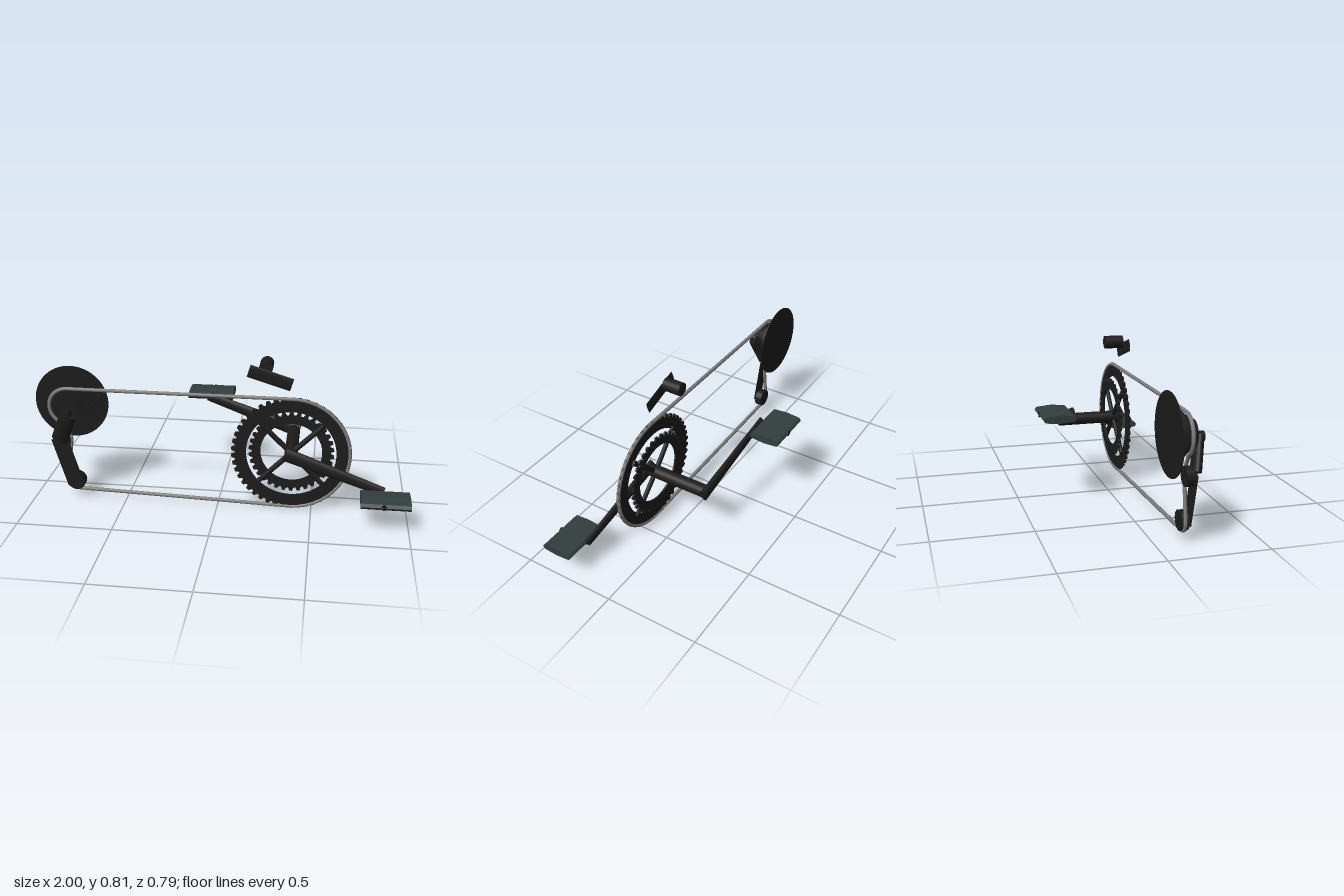
import * as THREE from 'three';

const V = (x, y, z) => new THREE.Vector3(x, y, z);

export function createModel() {
  const model = new THREE.Group();
  const black = new THREE.MeshStandardMaterial({ color: 0x1c1c1c });
  black.name = 'black metal';
  const steel = new THREE.MeshStandardMaterial({ color: 0x7c7c7c });
  steel.name = 'chain steel';
  const slate = new THREE.MeshStandardMaterial({ color: 0x333e3e });
  slate.name = 'pedal slate';

  const add = (name, geometry, material = black) => {
    const mesh = new THREE.Mesh(geometry, material);
    mesh.name = name;
    model.add(mesh);
    return mesh;
  };

  // Tapered bar from a to b, with its thickness along z scaled by flat
  const bar = (name, a, b, ra, rb, flat = 1, sides = 24) => {
    const g = new THREE.CylinderGeometry(rb, ra, a.distanceTo(b), sides);
    g.scale(1, 1, flat);
    const y = b.clone().sub(a).normalize();
    const z = V(0, 0, 1).addScaledVector(y, -y.z).normalize();
    const x = y.clone().cross(z);
    const m = new THREE.Matrix4().makeBasis(x, y, z);
    m.setPosition(a.clone().add(b).multiplyScalar(0.5));
    return add(name, g.applyMatrix4(m));
  };

  // Cylinder lying along z
  const drum = (name, x, y, z0, z1, r, sides = 32) => {
    const g = new THREE.CylinderGeometry(r, r, z1 - z0, sides);
    g.rotateX(Math.PI / 2);
    g.translate(x, y, (z0 + z1) / 2);
    return add(name, g);
  };

  const CX = 0.385, CY = 0.32, BX = -0.8, BY = 0.525, CHAIN_Z = 0.145;

  // Toothed chainrings
  const chainring = (name, outer, inner, teeth, z) => {
    const shape = new THREE.Shape();
    const step = (Math.PI * 2) / teeth;
    for (let i = 0; i < teeth; i++) {
      [[0, -0.018], [0.25, -0.018], [0.42, 0], [0.78, 0]].forEach(([f, d], k) => {
        const a = (i + f) * step, r = outer + d;
        shape[i + k ? 'lineTo' : 'moveTo'](r * Math.cos(a), r * Math.sin(a));
      });
    }
    shape.closePath();
    const hole = new THREE.Path();
    hole.absarc(0, 0, inner, 0, Math.PI * 2, true);
    shape.holes.push(hole);
    const g = new THREE.ExtrudeGeometry(shape, { depth: 0.01, bevelEnabled: false, curveSegments: 32 });
    g.translate(CX, CY, z - 0.005);
    add(name, g);
  };
  chainring('largeChainring', 0.314, 0.236, 46, CHAIN_Z);
  chainring('smallChainring', 0.224, 0.162, 34, 0.122);

  // Spider arms
  for (let i = 0; i < 4; i++) {
    const a = Math.PI / 4 + (i * Math.PI) / 2;
    bar('spiderArm', V(CX, CY, 0.134),
      V(CX + 0.25 * Math.cos(a), CY + 0.25 * Math.sin(a), 0.138), 0.015, 0.014, 0.8, 12);
  }

  // Bottom bracket and cranks
  drum('bottomBracket', CX, CY, -0.185, 0.175, 0.034);
  bar('leftCrank', V(CX - 0.03, CY + 0.01, 0.175), V(0.87, 0.165, 0.215), 0.038, 0.025, 0.48);
  bar('rightCrank', V(CX + 0.03, CY - 0.005, -0.178), V(-0.1, 0.482, -0.218), 0.038, 0.025, 0.48);

  // Pedals with a lens-like section
  const section = new THREE.Shape([
    [0.086, 0], [0.075, 0.015], [0, 0.022], [-0.075, 0.015],
    [-0.086, 0], [-0.075, -0.015], [0, -0.022], [0.075, -0.015],
  ].map(([x, y]) => new THREE.Vector2(x, y)));
  for (const [name, x, y, z] of [['leftPedal', 0.875, 0.163, 0.306], ['rightPedal', -0.09, 0.475, -0.308]]) {
    const g = new THREE.ExtrudeGeometry(section, { depth: 0.25, bevelEnabled: false });
    g.translate(0, 0, -0.125);
    g.rotateY(Math.PI / 2);
    g.translate(x, y, z);
    add(name, g, slate);
    drum(name + 'Axle', x - Math.sign(z) * 0.01, y, z - 0.085, z + 0.085, 0.014, 12);
  }

  // Rear cassette: twelve separate thin sprockets
  [0.2, 0.17, 0.15, 0.132, 0.12, 0.108, 0.098, 0.09, 0.083, 0.077, 0.071, 0.066].forEach((r, i) =>
    drum('sprocket', BX, BY, 0.063 + i * 0.0105, 0.067 + i * 0.0105, r, 48));

  // Rear derailleur: mount, body, cage and two guide wheels
  drum('derailleurMount', -0.79, 0.505, 0.188, 0.235, 0.025);
  bar('derailleurBody', V(-0.78, 0.505, 0.214), V(-0.845, 0.35, 0.18), 0.045, 0.045, 0.56);
  bar('derailleurCage', V(-0.85, 0.355, 0.174), V(-0.773, 0.088, 0.174), 0.046, 0.046, 0.12);
  drum('upperGuideWheel', -0.84, 0.335, 0.127, 0.165, 0.048);
  drum('lowerGuideWheel', -0.775, 0.1, 0.127, 0.165, 0.05);

  // Front derailleur clamp and cage plate
  drum('frontDerailleurClamp', 0.245, 0.783, 0.048, 0.147, 0.035);
  bar('frontDerailleurCage', V(0.16, 0.775, 0.164), V(0.38, 0.708, 0.164), 0.034, 0.034, 0.15);

  // Chain: arcs around each wheel, joined by straight runs
  const points = [];
  const arc = (x, y, r, from, to, n) => {
    for (let i = 0; i <= n; i++) {
      const a = THREE.MathUtils.degToRad(from + ((to - from) * i) / n);
      points.push(V(x + r * Math.cos(a), y + r * Math.sin(a), CHAIN_Z));
    }
  };
  arc(BX, BY, 0.101, 90, 245, 20);
  arc(-0.84, 0.335, 0.05, 50, -20, 8);
  arc(-0.775, 0.1, 0.05, 165, 268, 10);
  arc(CX, CY, 0.305, -92, 90, 48);
  const path = new THREE.CurvePath();
  points.forEach((p, i) => path.add(new THREE.LineCurve3(p, points[(i + 1) % points.length])));
  add('chain', new THREE.TubeGeometry(path, 420, 0.01, 8, true), steel);

  return model;
}
